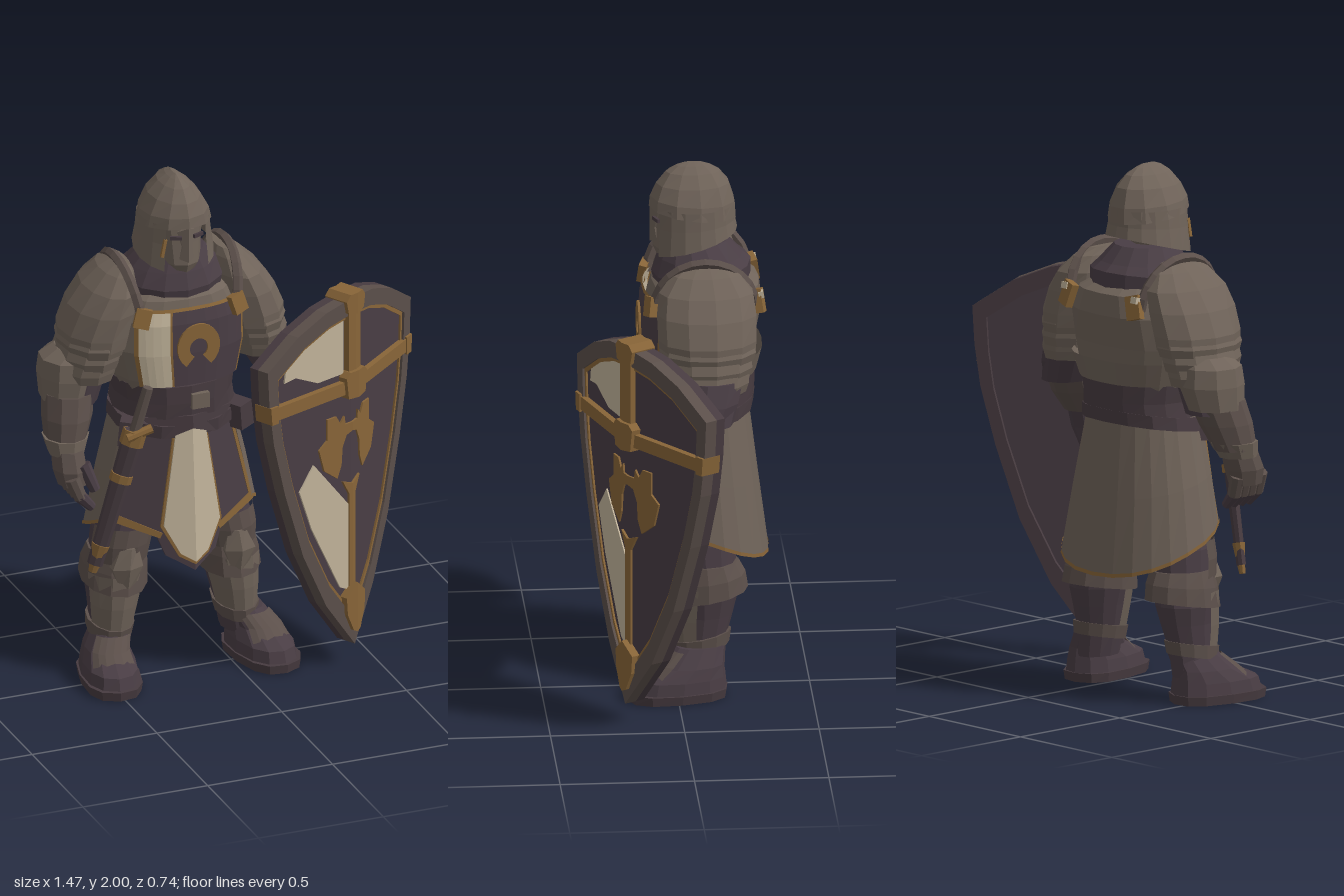
import * as THREE from 'three';

const mat = (name, color) => new THREE.MeshStandardMaterial({ name, color, side: THREE.DoubleSide });

export function createModel() {
  const steel = mat('steel', 0x6f6359), iron = mat('dark iron', 0x5b4f4a), cloth = mat('dark cloth', 0x493d44);
  const gold = mat('aged gold', 0x886538), cream = mat('cream', 0xc2b49b), leather = mat('leather', 0x473b40);

  const model = new THREE.Group();
  const body = new THREE.Group();
  body.name = 'knight';
  body.position.x = -0.2;
  model.add(body);

  // faceted mesh
  function add(name, geo, m, parent = body) {
    const g = geo.index ? geo.toNonIndexed() : geo;
    g.computeVertexNormals();
    const mesh = new THREE.Mesh(g, m);
    mesh.name = name;
    parent.add(mesh);
    return mesh;
  }

  // rings run bottom to top: [y, centreX, centreZ, radiusX, radiusZ, tilt]; angle 0 is the front
  function loft(name, rings, m, { n = 12, p = 2, from = 0, to = Math.PI * 2, parent = body } = {}) {
    const full = to - from > 6.28, pos = [];
    const bend = v => Math.sign(v) * Math.pow(Math.abs(v), 2 / p);
    const pt = ([y, cx, cz, rx, rz, tilt = 0], i) => {
      const a = from + (to - from) * i / n;
      return [cx + rx * bend(Math.sin(a)), y + tilt * Math.cos(a), cz + rz * bend(Math.cos(a))];
    };
    const tri = (...ps) => ps.forEach(q => pos.push(...q));
    for (let i = 0; i < n; i++) {
      for (let k = 0; k < rings.length - 1; k++) {
        const a = pt(rings[k], i), b = pt(rings[k], i + 1), c = pt(rings[k + 1], i + 1), d = pt(rings[k + 1], i);
        tri(a, b, c);
        tri(a, c, d);
      }
      if (full) {
        const lo = rings[0], hi = rings[rings.length - 1];
        tri([lo[1], lo[0], lo[2]], pt(lo, i + 1), pt(lo, i));
        tri([hi[1], hi[0], hi[2]], pt(hi, i), pt(hi, i + 1));
      }
    }
    const g = new THREE.BufferGeometry();
    g.setAttribute('position', new THREE.Float32BufferAttribute(pos, 3));
    return add(name, g, m, parent);
  }

  // plate folded along its centre line; points describe the right half as [x, y]
  function folded(name, pts, z0, z1, slope, m, parent, sides = [-1, 1]) {
    for (const s of sides) {
      const shape = new THREE.Shape(pts.map(([x, y]) => new THREE.Vector2(x * s, y)));
      const g = new THREE.ExtrudeGeometry(shape, { depth: z1 - z0, bevelEnabled: false });
      const a = g.attributes.position;
      for (let i = 0; i < a.count; i++) a.setZ(i, a.getZ(i) + z0 - slope * Math.abs(a.getX(i)));
      add(name, g, m, parent);
    }
  }

  const box = (name, m, size, at, rot = [0, 0, 0], parent = body) => {
    const b = add(name, new THREE.BoxGeometry(...size), m, parent);
    b.position.set(...at);
    b.rotation.set(...rot);
  };

  // rod between two points
  function rod(name, a, b, r0, r1, m, flat = 1) {
    const A = new THREE.Vector3(...a), B = new THREE.Vector3(...b), d = B.clone().sub(A);
    const mesh = add(name, new THREE.CylinderGeometry(r1, r0, d.length(), 8), m);
    mesh.position.copy(A).add(B).multiplyScalar(0.5);
    mesh.quaternion.setFromUnitVectors(new THREE.Vector3(0, 1, 0), d.normalize());
    mesh.scale.z = flat;
  }

  // torso
  loft('hips', [[0.75, 0, -0.11, 0.18, 0.14], [0.9, 0, -0.1, 0.2, 0.16], [1.06, 0, -0.1, 0.2, 0.18]], cloth);
  loft('breastplate', [[1.12, 0, -0.1, 0.2, 0.18], [1.22, 0, -0.1, 0.24, 0.2], [1.34, 0, -0.105, 0.27, 0.205],
    [1.46, 0, -0.12, 0.265, 0.215], [1.54, 0, -0.125, 0.22, 0.2], [1.58, 0, -0.115, 0.15, 0.14]], steel, { n: 18, p: 2.5 });
  loft('backLame', [[1.2, 0, -0.11, 0.235, 0.205], [1.29, 0, -0.115, 0.268, 0.222]], steel, { n: 10, p: 2.4, from: 1.8, to: 4.5 });
  const chest = [[1.21, 0, -0.1, 0.25, 0.218], [1.34, 0, -0.1, 0.28, 0.222], [1.46, 0, -0.1, 0.28, 0.218], [1.515, 0, -0.1, 0.26, 0.205]];
  loft('chestCloth', chest, cloth, { n: 6, p: 2.5, from: -0.21, to: 0.8 });
  loft('chestCloth', chest, cream, { n: 4, p: 2.5, from: -0.72, to: -0.24 });
  for (const [from, to] of [[-0.8, -0.72], [-0.24, -0.21], [0.8, 0.86]]) loft('chestTrim', chest, gold, { n: 1, p: 2.5, from, to });
  loft('neckTrim', [[1.51, 0, -0.1, 0.263, 0.211], [1.522, 0, -0.1, 0.258, 0.206]], gold, { n: 8, p: 2.5, from: -0.8, to: 0.8 });
  const arch = new THREE.Shape();
  arch.absarc(0, 0, 0.085, -0.95, Math.PI + 0.95, false);
  arch.absarc(0, -0.005, 0.036, Math.PI + 1.05, -1.05, true);
  const emblem = add('chestEmblem', new THREE.ExtrudeGeometry(arch, { depth: 0.009, bevelEnabled: false, curveSegments: 9 }), gold);
  emblem.position.set(0.02, 1.365, 0.119);
  emblem.scale.y = 1.08;

  // neck scarf
  loft('scarf', [[1.535, 0, -0.115, 0.2, 0.18, -0.01], [1.595, 0, -0.11, 0.205, 0.185, -0.02],
    [1.64, 0, -0.105, 0.17, 0.16], [1.7, 0, -0.09, 0.12, 0.12]], cloth, { n: 14 });

  // belt, skirt and front cloth
  loft('belt', [[1.07, 0, -0.1, 0.235, 0.205], [1.13, 0, -0.1, 0.225, 0.21], [1.2, 0, -0.1, 0.235, 0.21]], leather, { n: 16, p: 2.2 });
  loft('lowerBelt', [[1.02, 0, -0.1, 0.245, 0.205, -0.03], [1.07, 0, -0.1, 0.24, 0.21, -0.03]], leather, { n: 14, p: 2.2 });
  box('buckle', steel, [0.07, 0.06, 0.02], [0.03, 1.14, 0.115]);
  for (const s of [-1, 1]) box('pouch', leather, [0.07, 0.1, 0.1], [0.215 * s, 1.02, 0.02], [0, 0.5 * s, 0.1 * s]);
  const skirt = { n: 16, p: 2.2, from: 0.95, to: Math.PI * 2 - 0.95 };
  loft('skirt', [[0.6, 0, -0.12, 0.328, 0.24, 0.12], [0.82, 0, -0.11, 0.285, 0.212, 0.05], [1.07, 0, -0.1, 0.225, 0.185]], steel, skirt);
  loft('skirtHem', [[0.595, 0, -0.12, 0.331, 0.243, 0.12], [0.609, 0, -0.12, 0.33, 0.242, 0.12]], gold, skirt);
  const front = new THREE.Group();
  front.name = 'frontCloth';
  front.position.set(0, 1.06, 0.1);
  front.rotation.x = -0.07;
  body.add(front);
  folded('tabard', [[0, 0], [0.17, 0], [0.27, -0.39], [0.13, -0.46], [0.1, -0.54], [0, -0.6]], -0.012, 0, 0.42, cloth, front);
  folded('tabardTrim', [[0.17, 0], [0.182, 0], [0.283, -0.4], [0.12, -0.47], [0.11, -0.45], [0.262, -0.375]], -0.014, 0.007, 0.42, gold, front);
  folded('centrePanelTrim', [[0, -0.03], [0.065, -0.03], [0.122, -0.42], [0.06, -0.54], [0, -0.575]], 0, 0.008, 0.3, gold, front);
  folded('centrePanel', [[0, -0.03], [0.058, -0.03], [0.112, -0.415], [0.055, -0.528], [0, -0.563]], 0.005, 0.014, 0.3, cream, front);
  folded('waistFlap', [[0, 0.02], [0.18, 0.02], [0.1, -0.07], [0, -0.03]], 0.005, 0.02, 0.35, leather, front);

  // helmet and face
  loft('face', [[1.63, 0, -0.02, 0.045, 0.07], [1.675, 0, -0.03, 0.08, 0.1], [1.76, 0, -0.05, 0.09, 0.115],
    [1.85, 0, -0.06, 0.1, 0.12]], steel, { n: 10 });
  folded('nosePlate', [[0, 1.83], [0.035, 1.81], [0.02, 1.75], [0.03, 1.7], [0, 1.69]], 0.055, 0.08, 0.8, steel, body);
  for (const s of [-1, 1]) box('eyeSlit', leather, [0.045, 0.014, 0.01], [0.045 * s, 1.79, 0.06], [0, 0.4 * s, 0]);
  box('cheekTrim', gold, [0.012, 0.07, 0.012], [-0.088, 1.75, 0.045], [0, 0, -0.2]);
  loft('helmetSkirt', [[1.695, 0, -0.08, 0.152, 0.165, -0.045], [1.77, 0, -0.08, 0.14, 0.157, -0.01], [1.84, 0, -0.08, 0.133, 0.155]],
    steel, { n: 14, from: 0.62, to: Math.PI * 2 - 0.62 });
  loft('helmetDome', [[1.81, 0, -0.08, 0.139, 0.164, 0.02], [1.86, 0, -0.08, 0.128, 0.16, 0.01], [1.92, 0, -0.08, 0.096, 0.138],
    [1.965, 0, -0.08, 0.056, 0.102], [1.988, 0, -0.08, 0.025, 0.065], [2, 0, -0.08, 0.004, 0.03]], steel, { n: 11 });

  // shoulders and legs
  for (const s of [-1, 1]) {
    loft('pauldron', [[1.36, 0.31 * s, -0.115, 0.13, 0.18], [1.41, 0.303 * s, -0.115, 0.136, 0.185], [1.5, 0.275 * s, -0.115, 0.125, 0.188],
      [1.575, 0.245 * s, -0.115, 0.1, 0.178], [1.635, 0.22 * s, -0.115, 0.06, 0.13], [1.665, 0.2 * s, -0.115, 0.025, 0.08]], steel, { n: 11 });
    for (let i = 0; i < 3; i++) {
      const y = 1.39 - i * 0.055, x = (0.316 + i * 0.014) * s;
      loft('shoulderLame', [[y - 0.055, x, -0.115, 0.122 - i * 0.006, 0.172 - i * 0.015], [y - 0.02, x, -0.115, 0.13 - i * 0.006, 0.183 - i * 0.015],
        [y + 0.06, x - 0.02 * s, -0.115, 0.115, 0.16]], steel, { n: 11 });
    }
    const guard = add('neckGuard', new THREE.TorusGeometry(0.185, 0.02, 5, 12, Math.PI), iron);
    guard.position.set(0.19 * s, 1.495, -0.11);
    guard.rotation.set(0, Math.PI / 2, -0.17 * s, 'ZYX');
    box('clasp', gold, [0.06, 0.075, 0.03], [0.19 * s, 1.5, 0.09], [-0.2, 0.3 * s, 0.3 * s]);
    box('clasp', gold, [0.06, 0.09, 0.03], [0.18 * s, 1.51, -0.315], [0.2, -0.2 * s, 0.3 * s]);
    box('claspStud', cream, [0.03, 0.025, 0.02], [0.19 * s, 1.54, -0.32], [0.2, 0, 0]);

    loft('leg', [[0.1, 0.262 * s, -0.09, 0.066, 0.09], [0.2, 0.25 * s, -0.09, 0.074, 0.095], [0.3, 0.24 * s, -0.1, 0.09, 0.112],
      [0.37, 0.235 * s, -0.1, 0.105, 0.13], [0.46, 0.22 * s, -0.11, 0.1, 0.115], [0.58, 0.2 * s, -0.1, 0.112, 0.125],
      [0.72, 0.165 * s, -0.1, 0.1, 0.115], [0.85, 0.12 * s, -0.1, 0.1, 0.12]], cloth);
    loft('shinPlate', [[0.19, 0.25 * s, -0.09, 0.078, 0.108], [0.29, 0.242 * s, -0.09, 0.094, 0.12], [0.42, 0.228 * s, -0.1, 0.116, 0.135]],
      steel, { n: 6, from: -1.4, to: 1.4 });
    loft('kneeFlare', [[0.37, 0.227 * s, -0.115, 0.125, 0.155, -0.025], [0.44, 0.222 * s, -0.115, 0.122, 0.145, -0.015],
      [0.5, 0.215 * s, -0.11, 0.11, 0.125]], iron);
    loft('thighPlate', [[0.47, 0.217 * s, -0.1, 0.112, 0.128], [0.54, 0.21 * s, -0.1, 0.12, 0.137], [0.61, 0.195 * s, -0.1, 0.122, 0.135]],
      iron, { n: 7, from: -1.4, to: 1.4 });
    loft('kneeCap', [[0.37, 0.225 * s, 0.005, 0.03, 0.03], [0.46, 0.225 * s, 0.01, 0.07, 0.045], [0.54, 0.215 * s, 0, 0.04, 0.045]], steel, { n: 6 });
    loft('bootCuff', [[0.17, 0.254 * s, -0.09, 0.082, 0.108, -0.02], [0.22, 0.249 * s, -0.09, 0.088, 0.115, -0.02]], iron);
    const foot = new THREE.Group();
    foot.name = 'boot';
    foot.position.set((s > 0 ? 0.305 : 0.275) * s, 0, -0.08);
    foot.rotation.y = 0.16 * s;
    body.add(foot);
    loft('sole', [[0, 0, 0.085, 0.108, 0.19], [0.035, 0, 0.085, 0.113, 0.195]], leather, { p: 2.6, parent: foot });
    loft('upper', [[0.03, 0, 0.08, 0.107, 0.187], [0.08, 0, 0.075, 0.1, 0.177], [0.125, 0, 0.03, 0.083, 0.125],
      [0.19, -0.03 * s, -0.01, 0.073, 0.096]], cloth, { p: 2.3, parent: foot });
    loft('instepPlate', [[0.085, 0, 0.075, 0.1, 0.14], [0.135, 0, 0.03, 0.088, 0.125], [0.18, -0.02 * s, 0, 0.08, 0.1]],
      iron, { n: 6, p: 2.3, from: -0.9, to: 0.9, parent: foot });
  }

  // right arm, hanging
  loft('upperArm', [[1.12, -0.39, -0.12, 0.095, 0.1], [1.25, -0.355, -0.125, 0.1, 0.115], [1.42, -0.31, -0.12, 0.08, 0.1]], cloth);
  loft('elbowPlate', [[1.14, -0.415, -0.12, 0.098, 0.112], [1.23, -0.4, -0.13, 0.118, 0.13], [1.3, -0.395, -0.13, 0.115, 0.12],
    [1.335, -0.37, -0.13, 0.08, 0.09]], steel, { n: 9 });
  loft('forearm', [[0.98, -0.445, -0.05, 0.075, 0.085], [1.08, -0.425, -0.08, 0.095, 0.105], [1.17, -0.41, -0.11, 0.098, 0.11]], iron, { n: 10 });
  loft('cuff', [[0.95, -0.445, -0.035, 0.07, 0.075], [1.01, -0.44, -0.055, 0.09, 0.093]], steel, { n: 9 });
  loft('hand', [[0.84, -0.44, 0.005, 0.055, 0.068], [0.9, -0.445, -0.005, 0.067, 0.08], [0.97, -0.445, -0.03, 0.062, 0.075]], iron, { n: 8 });
  for (let i = 0; i < 4; i++) {
    const z = 0.06 - i * 0.037;
    rod('finger', [-0.46, 0.88, z], [-0.43, 0.8, z + 0.01], 0.03, 0.026, iron);
    rod('finger', [-0.435, 0.81, z + 0.01], [-0.385, 0.755, z + 0.01], 0.026, 0.018, cloth);
  }
  rod('thumb', [-0.41, 0.92, 0.04], [-0.37, 0.82, 0.065], 0.03, 0.02, cloth);

  // left arm, behind the shield
  loft('upperArm', [[1.12, 0.425, -0.1, 0.085, 0.1], [1.25, 0.365, -0.125, 0.1, 0.115], [1.42, 0.31, -0.12, 0.08, 0.1]], cloth);
  loft('elbowPlate', [[1.12, 0.43, -0.08, 0.088, 0.105], [1.2, 0.4, -0.11, 0.1, 0.115], [1.28, 0.365, -0.125, 0.1, 0.12]], cloth, { n: 9 });
  loft('forearm', [[0.97, 0.505, 0.055, 0.065, 0.07], [1.06, 0.47, -0.01, 0.082, 0.1], [1.16, 0.43, -0.07, 0.086, 0.11]], iron, { n: 10 });
  loft('hand', [[0.82, 0.5, 0.09, 0.035, 0.04], [0.9, 0.515, 0.085, 0.055, 0.06], [0.98, 0.505, 0.055, 0.055, 0.06]], cloth, { n: 8 });

  // scabbard and hilt
  const on = t => [-0.21 - 0.165 * t, 1.1 - 0.62 * t, 0.1 - 0.05 * t];
  rod('scabbard', on(0.08), on(0.95), 0.042, 0.03, leather, 0.6);
  rod('scabbardTip', on(0.82), on(1), 0.035, 0.016, gold, 0.7);
  rod('scabbardBand', on(0.08), on(0.17), 0.046, 0.046, gold, 0.7);
  rod('scabbardBand', on(0.36), on(0.41), 0.043, 0.043, gold, 0.7);
  rod('grip', on(-0.2), on(0.08), 0.02, 0.022, iron);
  rod('crossguard', [-0.26, 1.03, 0.11], [-0.165, 1.06, 0.12], 0.018, 0.018, gold);

  // shield
  const shield = new THREE.Group();
  shield.name = 'shield';
  shield.position.set(0.4, 0, 0.2);
  shield.rotation.y = 0.52;
  model.add(shield);
  const K = 0.17;
  const rim = [[0, 1.505], [0.14, 1.48], [0.28, 1.425], [0.43, 1.325], [0.422, 1.18], [0.4, 1.02], [0.345, 0.8], [0.255, 0.52], [0.14, 0.28], [0, 0.085]];
  const inset = k => rim.map(([x, y]) => [x * k, 0.95 + (y - 0.95) * k]);
  const ring = (a, b) => [...inset(a), ...inset(b).reverse()];
  const plate = (name, pts, z0, z1, m, sides) => folded(name, pts, z0, z1, K, m, shield, sides);
  plate('shieldBoard', inset(0.985), -0.05, 0, cloth);
  plate('shieldBackRim', ring(1, 0.88), -0.066, -0.03, leather);
  plate('shieldRim', ring(1, 0.885), -0.03, 0.018, iron);
  plate('innerTrim', ring(0.887, 0.857), -0.01, 0.008, gold);
  plate('upperField', [[0.045, 1.2], [0.17, 1.2], [0.28, 1.255], [0.335, 1.25], [0.325, 1.32], [0.2, 1.39], [0.045, 1.43]], 0, 0.006, cream, [-1]);
  plate('lowerField', [[0.19, 0.87], [0.02, 0.66], [0.02, 0.31], [0.06, 0.33], [0.2, 0.61], [0.26, 0.78]], 0, 0.006, cream, [-1]);
  plate('crossBar', [[0, 1.12], [0.408, 1.12], [0.415, 1.172], [0, 1.172]], -0.01, 0.024, gold);
  plate('upperBar', [[0, 1.15], [0.035, 1.15], [0.035, 1.47], [0, 1.47]], -0.01, 0.024, gold);
  plate('lowerBar', [[0, 0.3], [0.018, 0.3], [0.018, 0.7], [0.05, 0.76], [0, 0.74]], 0, 0.01, gold);
  plate('centreBoss', [[0, 1.1], [0.05, 1.105], [0.06, 1.19], [0.04, 1.21], [0, 1.21]], 0, 0.038, gold);
  plate('topBoss', [[0, 1.44], [0.045, 1.45], [0.055, 1.5], [0.035, 1.525], [0, 1.525]], -0.07, 0.033, gold);
  plate('bottomBoss', [[0, 0.34], [0.055, 0.29], [0.05, 0.22], [0.02, 0.15], [0, 0.14]], -0.01, 0.033, gold);
  plate('endBoss', [[0.385, 1.11], [0.418, 1.11], [0.424, 1.18], [0.385, 1.18]], -0.05, 0.028, gold);
  plate('towerEmblem', [[0, 0.99], [0.035, 0.99], [0.04, 1.025], [0.06, 1.0], [0.08, 1.035], [0.125, 1.035], [0.125, 0.95],
    [0.165, 0.92], [0.14, 0.83], [0.075, 0.78], [0.055, 0.83], [0.05, 0.9], [0.03, 0.945], [0, 0.955]], 0, 0.008, gold);
  for (const y of [0.9, 1.08]) box('armStrap', leather, [0.13, 0.04, 0.02], [-0.05, y, -0.085], [0, 0, 0], shield);

  return model;
}
